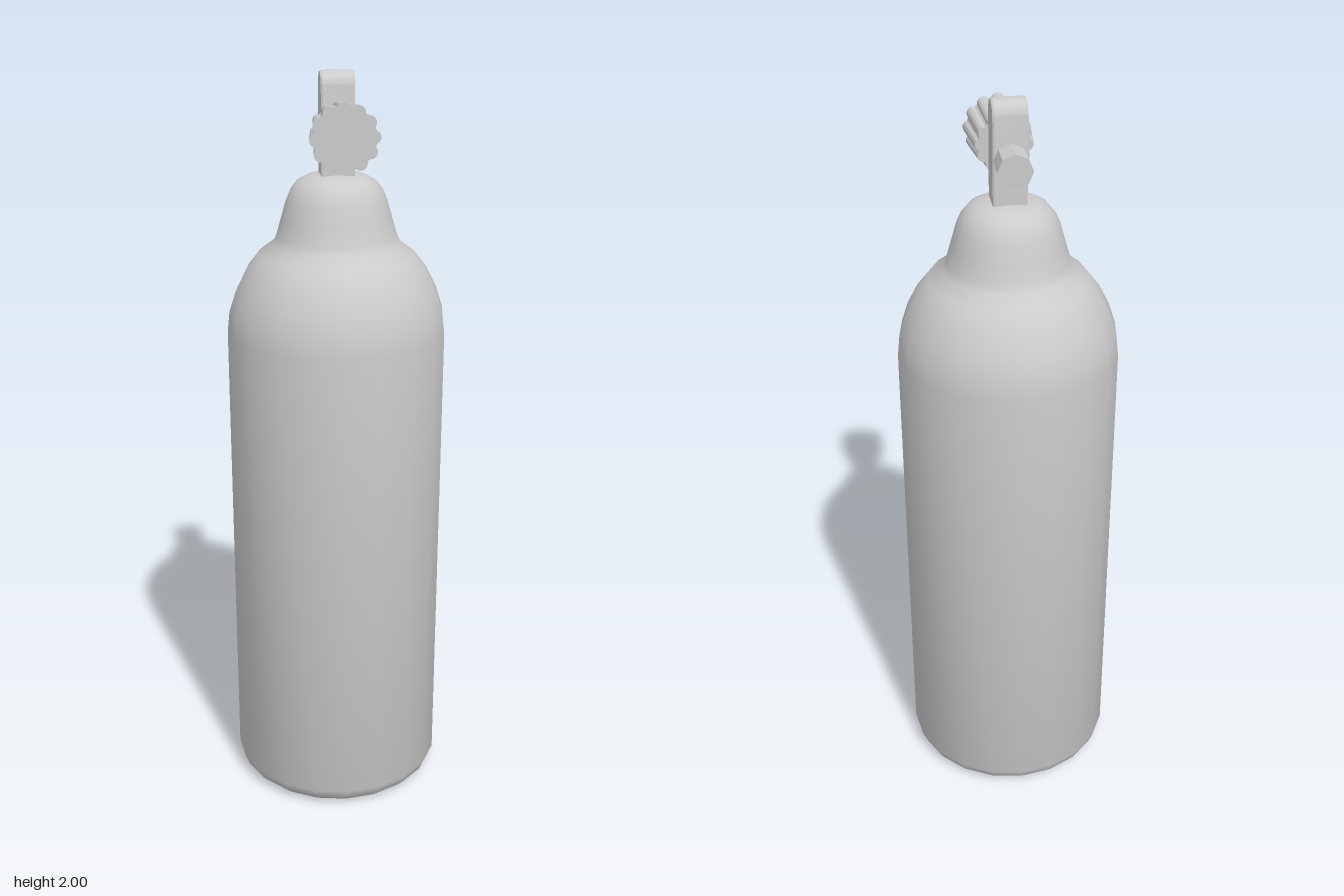
import * as THREE from 'three';
import { toCreasedNormals } from 'three/addons/utils/BufferGeometryUtils.js';

const VALVE_Y = 1.86;

export function createModel() {
  const model = new THREE.Group();
  model.name = 'gasCylinder';
  const material = new THREE.MeshStandardMaterial({ color: 0xcccccc });

  const add = (name, geometry, crease) => {
    const mesh = new THREE.Mesh(crease ? toCreasedNormals(geometry, crease) : geometry, material);
    mesh.name = name;
    model.add(mesh);
    return mesh;
  };

  // Cylinder lying along z, from zBack to zFront
  const addAxial = (name, rBack, rFront, zBack, zFront, sides, crease) => {
    const g = new THREE.CylinderGeometry(rFront, rBack, zFront - zBack, sides);
    g.rotateX(Math.PI / 2);
    g.translate(0, VALVE_Y, (zBack + zFront) / 2);
    return add(name, g, crease);
  };

  // Tank: 20-sided lathe with rounded foot, domed shoulder and neck
  const profile = [
    [0, 0.005], [0.24, 0.005], [0.262, 0.012], [0.28, 0.03], [0.29, 0.055],
    [0.29, 1.33], [0.284, 1.385], [0.266, 1.44], [0.238, 1.495], [0.205, 1.537],
    [0.168, 1.565], [0.158, 1.585], [0.145, 1.63], [0.132, 1.675], [0.12, 1.703],
    [0.102, 1.725], [0.078, 1.738], [0.04, 1.744], [0, 1.745],
  ].map(([r, y]) => new THREE.Vector2(r, y));
  add('tank', new THREE.LatheGeometry(profile, 20), 0.7);

  // Valve post: round-topped plate with slightly eased edges
  const half = 0.036;
  const post = new THREE.Shape();
  post.moveTo(-half, 1.72);
  post.lineTo(half, 1.72);
  post.lineTo(half, 1.997 - half);
  post.absarc(0, 1.997 - half, half, 0, Math.PI, false);
  post.closePath();
  const postGeometry = new THREE.ExtrudeGeometry(post, {
    depth: 0.076, bevelEnabled: true, bevelSize: 0.003, bevelThickness: 0.005,
    bevelSegments: 1, curveSegments: 10,
  });
  postGeometry.translate(0, 0, -0.038);
  postGeometry.rotateY(Math.PI / 2);
  add('valvePost', postGeometry, 0.5);

  // Stems either side of the post
  addAxial('knobStem', 0.038, 0.038, 0.02, 0.07, 16, 0.6);
  addAxial('outletStem', 0.038, 0.038, -0.055, -0.02, 16, 0.6);

  // Outlet nut
  addAxial('outletNut', 0.044, 0.044, -0.122, -0.05, 8, 0.4);

  // Fluted hand knob: rim vertices drawn in to cut twelve grooves
  const lobes = 12;
  const steps = [1, 1, 0.97, 0.89, 0.89, 0.97];
  const knob = new THREE.CylinderGeometry(0.087, 0.073, 0.135, lobes * steps.length);
  const p = knob.attributes.position;
  for (let i = 0; i < p.count; i++) {
    const angle = Math.atan2(p.getX(i), p.getZ(i)) + 2 * Math.PI;
    const k = steps[Math.round(angle * lobes * steps.length / (2 * Math.PI)) % steps.length];
    p.setXYZ(i, p.getX(i) * k, p.getY(i), p.getZ(i) * k);
  }
  knob.rotateX(Math.PI / 2);
  knob.translate(0, VALVE_Y, 0.1325);
  add('knob', knob, 0.35);

  // Small cap in the middle of the knob face
  addAxial('knobCap', 0.025, 0.025, 0.19, 0.201, 12, 0.6);

  return model;
}
